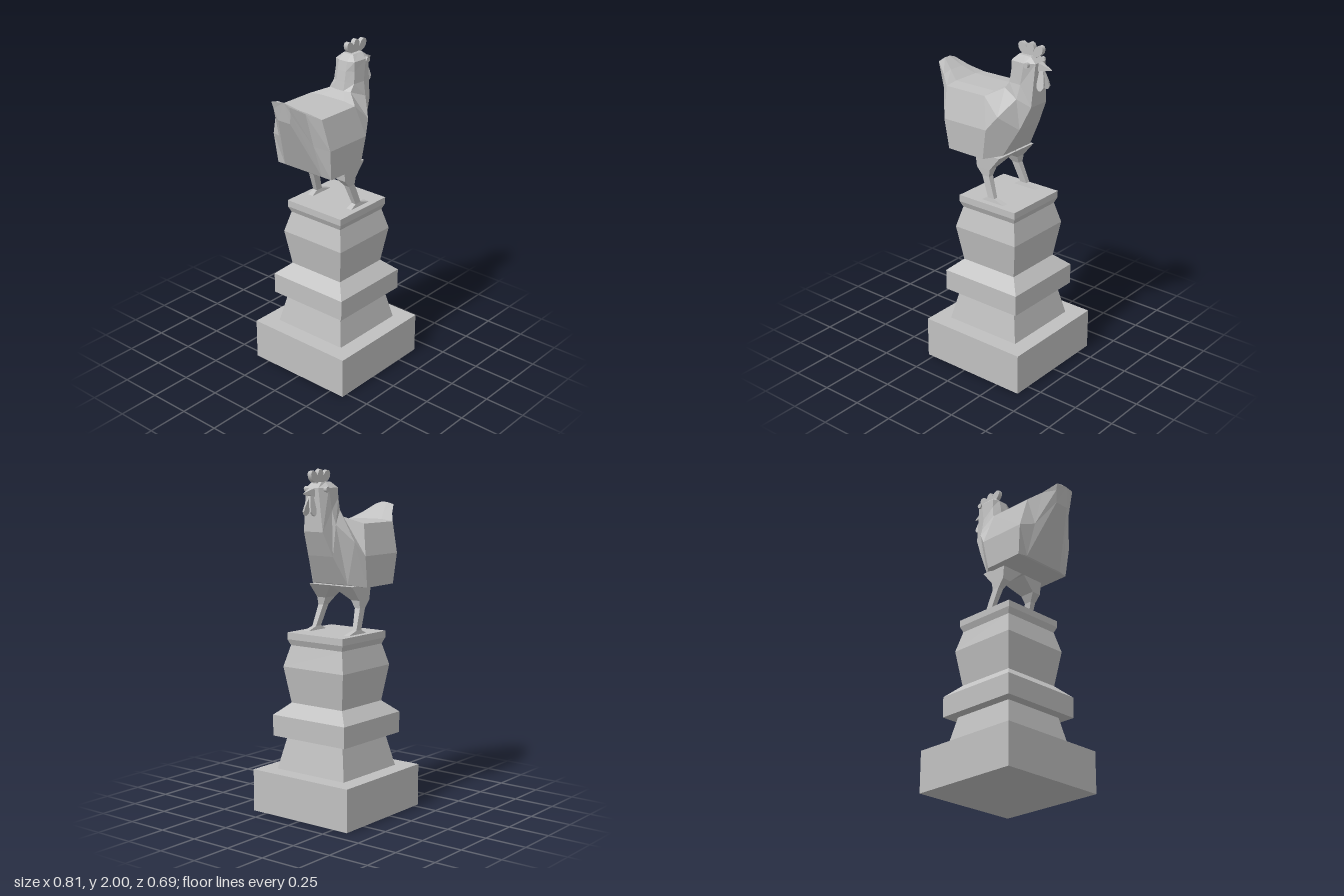
import * as THREE from 'three';

const stone = new THREE.MeshStandardMaterial({ color: 0xc0c0c0 });
stone.name = 'grey stone';

// Skin a closed solid over rings that turn right-handed around the travel direction
function loft(rings) {
  const out = [];
  const tri = (...pts) => pts.forEach((p) => out.push(...p));
  const n = rings[0].length;
  for (let i = 0; i + 1 < rings.length; i++) {
    for (let j = 0; j < n; j++) {
      const k = (j + 1) % n;
      const [a, b, c, d] = [rings[i][j], rings[i][k], rings[i + 1][k], rings[i + 1][j]];
      tri(a, b, c);
      tri(a, c, d);
    }
  }
  const first = rings[0], last = rings[rings.length - 1];
  for (let j = 1; j + 1 < n; j++) {
    tri(first[0], first[j + 1], first[j]);
    tri(last[0], last[j], last[j + 1]);
  }
  const geo = new THREE.BufferGeometry();
  geo.setAttribute('position', new THREE.Float32BufferAttribute(out, 3));
  geo.computeVertexNormals();
  return geo;
}

// Horizontal rectangle used as a ring
const rect = (y, x0, x1, z0, z1) => [[x1, y, z1], [x1, y, z0], [x0, y, z0], [x0, y, z1]];

// Half a section, top to bottom, mirrored across z = 0
const mirrored = (half) => [...half, ...half.map(([x, y, z]) => [x, y, -z]).reverse()];

export function createModel() {
  const model = new THREE.Group();
  const add = (name, geo) => {
    const mesh = new THREE.Mesh(geo, stone);
    mesh.name = name;
    model.add(mesh);
    return mesh;
  };

  // Stepped square pedestal: [half width, height]
  const steps = [[0.347, 0], [0.347, 0.25], [0.247, 0.25], [0.203, 0.45], [0.264, 0.45], [0.264, 0.575],
    [0.187, 0.645], [0.22, 0.86], [0.188, 0.985], [0.203, 1.02], [0.203, 1.06]];
  add('pedestal', loft(steps.map(([h, y]) => rect(y, 0.059 - h, 0.059 + h, -h, h))));

  // Body from tail to crown: ridge, top edge, flank and low edge of each section
  const sections = [
    [[-0.402, 1.793, 0.02], [-0.407, 1.78, 0.066], [-0.395, 1.74, 0.062], [-0.38, 1.67, 0.045]],
    [[-0.33, 1.742, 0.05], [-0.33, 1.73, 0.112], [-0.285, 1.53, 0.13], [-0.228, 1.335, 0.14]],
    [[-0.26, 1.7, 0.085], [-0.26, 1.69, 0.167], [-0.242, 1.51, 0.212], [-0.22, 1.33, 0.2]],
    [[0.018, 1.7, 0.085], [0.018, 1.69, 0.167], [0.062, 1.51, 0.212], [0.03, 1.327, 0.2]],
    [[0.08, 1.73, 0.03], [0.09, 1.73, 0.075], [0.12, 1.59, 0.18], [0.115, 1.345, 0.125]],
    [[0.09, 1.78, 0.03], [0.12, 1.77, 0.074], [0.19, 1.69, 0.1], [0.205, 1.51, 0.09]],
    [[0.1, 1.84, 0.03], [0.13, 1.84, 0.07], [0.2, 1.77, 0.08], [0.268, 1.65, 0.068]],
    [[0.112, 1.895, 0.03], [0.13, 1.895, 0.068], [0.22, 1.895, 0.075], [0.277, 1.895, 0.045]],
    [[0.15, 1.927, 0.025], [0.155, 1.927, 0.035], [0.2, 1.927, 0.036], [0.236, 1.927, 0.034]],
  ];
  add('body', loft(sections.map(mirrored)));

  // Comb: a low bar with three fanned lobes
  add('combBase', new THREE.BoxGeometry(0.09, 0.026, 0.026).translate(0.21, 1.932, 0));
  for (const [x, y, tilt] of [[0.163, 1.96, 0.7], [0.215, 1.962, 0], [0.269, 1.957, -0.7]]) {
    const lobe = new THREE.CylinderGeometry(0.026, 0.026, 0.027, 10);
    lobe.rotateX(Math.PI / 2).scale(1, 1.45, 1).rotateZ(tilt);
    add('combLobe', lobe.toNonIndexed().translate(x, y, 0));
  }

  // Beak tapering forward
  add('beak', loft([
    mirrored([[0.262, 1.9, 0.022], [0.268, 1.848, 0.022]]),
    mirrored([[0.355, 1.866, 0.001], [0.355, 1.861, 0.001]]),
  ]));

  // Thin drop outline shared by both wattles
  const drop = new THREE.Shape();
  drop.moveTo(0, 0.01);
  drop.quadraticCurveTo(-0.012, -0.04, 0.004, -0.09);
  drop.quadraticCurveTo(0.028, -0.122, 0.048, -0.08);
  drop.quadraticCurveTo(0.046, -0.04, 0.025, 0.01);
  const wattleGeo = new THREE.ExtrudeGeometry(drop, { depth: 0.011, bevelEnabled: false, curveSegments: 3 });
  wattleGeo.translate(0, 0, -0.0055);

  // Foot, shank and thigh: height, back x, front x, inner z, outer z
  const leg = [[1.06, -0.005, 0.155, 0.13, 0.167], [1.082, 0.036, 0.082, 0.135, 0.163],
    [1.205, -0.012, 0.037, 0.117, 0.154], [1.25, -0.05, 0.045, 0.095, 0.156],
    [1.335, -0.06, 0.115, 0.002, 0.158]];

  for (const side of [1, -1]) {
    const label = side > 0 ? 'left' : 'right';

    const wattle = add(label + 'Wattle', wattleGeo);
    wattle.position.set(0.275, 1.84, side * 0.006);
    wattle.rotation.x = -side * 0.26;

    // Eye: small raised disc
    const eye = add(label + 'Eye', new THREE.CylinderGeometry(0.016, 0.016, 0.022, 8));
    eye.rotation.x = Math.PI / 2;
    eye.position.set(0.236, 1.887, side * 0.071);

    add(label + 'Leg', loft(leg.map(([y, x0, x1, inner, outer]) => {
      const [z0, z1] = [side * inner, side * outer].sort((a, b) => a - b);
      return rect(y, x0, x1, z0, z1);
    })));
  }
  return model;
}
